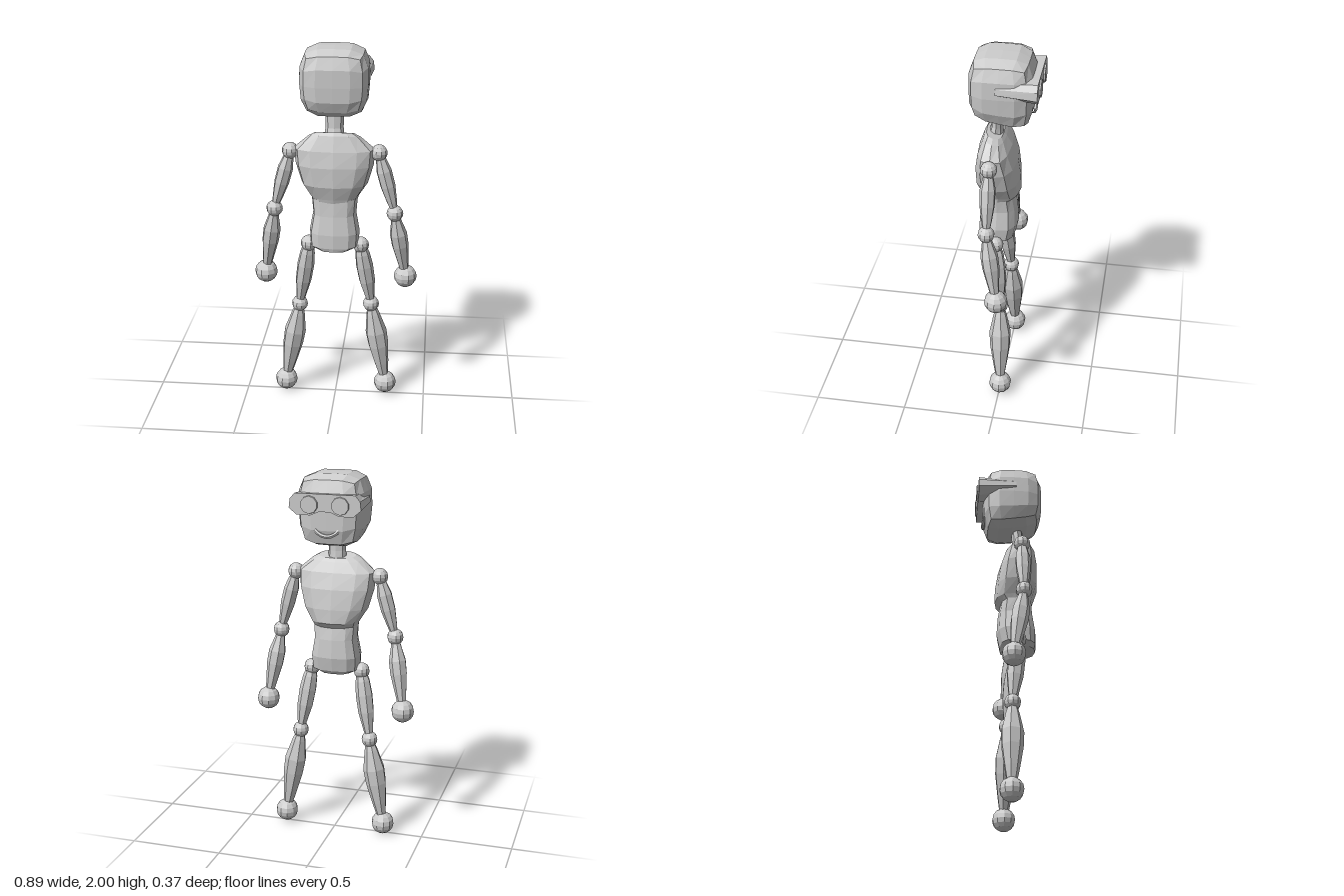
import * as THREE from 'three';

const material = new THREE.MeshStandardMaterial({ color: 0xcccccc, flatShading: true });

function add(parent, name, geometry) {
  const flat = geometry.index ? geometry.toNonIndexed() : geometry;
  flat.computeVertexNormals();
  const mesh = new THREE.Mesh(flat, material);
  mesh.name = name;
  parent.add(mesh);
  return mesh;
}

// Closed loft through horizontal rings: [y, half width, z min, z max, tilt]
function loft(rings, sides, power) {
  const pos = [], index = [];
  const soft = (v) => Math.sign(v) * Math.abs(v) ** (2 / power);
  for (const [y, w, z0, z1, tilt = 0] of rings) {
    for (let i = 0; i < sides; i++) {
      const a = (i / sides) * Math.PI * 2;
      const dz = (soft(Math.sin(a)) * (z1 - z0)) / 2;
      pos.push(soft(Math.cos(a)) * w, y + tilt * dz, (z0 + z1) / 2 + dz);
    }
  }
  const last = (rings.length - 1) * sides;
  const bottom = pos.length / 3, top = bottom + 1;
  for (const r of [rings[0], rings[rings.length - 1]]) pos.push(0, r[0], (r[2] + r[3]) / 2);
  for (let i = 0; i < sides; i++) {
    const n = (i + 1) % sides;
    for (let j = 0; j < last; j += sides) {
      index.push(j + i, j + sides + i, j + n, j + n, j + sides + i, j + sides + n);
    }
    index.push(bottom, i, n, top, last + n, last + i);
  }
  const g = new THREE.BufferGeometry();
  g.setAttribute('position', new THREE.Float32BufferAttribute(pos, 3));
  g.setIndex(index);
  return g;
}

// Rounded cube head with the chin sloping down towards the face (-z)
function headGeometry() {
  const g = new THREE.BoxGeometry(2, 2, 2, 4, 4, 4);
  const p = g.attributes.position;
  for (let i = 0; i < p.count; i++) {
    const x = p.getX(i), y = p.getY(i), z = p.getZ(i);
    const k = (x ** 4 + y ** 4 + z ** 4) ** -0.25;
    const low = Math.max(0, -y);
    p.setXYZ(
      i,
      x * k * 0.178 * (1 - 0.06 * low),
      1.817 + y * k * 0.183 + 0.025 * low * z * k,
      0.017 + z * k * 0.163
    );
  }
  return g;
}

// Goggle housing, tapering towards its rear
function visorGeometry() {
  const half = [[0.03, -0.035], [0.075, -0.055], [0.15, -0.055], [0.19, -0.02], [0.185, 0.025], [0.16, 0.055]];
  const outline = [...half, ...half.map(([x, y]) => [-x, y]).reverse()];
  const shape = new THREE.Shape(outline.map(([x, y]) => new THREE.Vector2(x, y)));
  const g = new THREE.ExtrudeGeometry(shape, { depth: 0.208, bevelEnabled: false });
  const p = g.attributes.position;
  for (let i = 0; i < p.count; i++) {
    const t = p.getZ(i) / 0.208;
    p.setXYZ(i, p.getX(i) * (1 - 0.03 * t), 1.853 + p.getY(i) * (1 - 0.33 * t) + 0.007 * t, p.getZ(i) - 0.178);
  }
  return g;
}

// Spindle-shaped limb between two joints; profile is [fraction, radius]
function limb(parent, name, from, to, profile) {
  const a = new THREE.Vector3(...from), dir = new THREE.Vector3(...to).sub(a);
  const length = dir.length();
  const points = profile.map(([t, r]) => new THREE.Vector2(r, -t * length)).reverse();
  const mesh = add(parent, name, new THREE.LatheGeometry(points, 7));
  mesh.position.copy(a);
  mesh.quaternion.setFromUnitVectors(new THREE.Vector3(0, -1, 0), dir.normalize());
}

function joint(parent, name, at, radius) {
  add(parent, name, new THREE.SphereGeometry(radius, 10, 8)).position.set(...at);
}

export function createModel() {
  const model = new THREE.Group();
  model.name = 'figure';

  // Head, goggles and smile
  const head = new THREE.Group();
  head.name = 'headGroup';
  model.add(head);
  add(head, 'head', headGeometry());
  add(head, 'visor', visorGeometry());
  for (const s of [-1, 1]) {
    const lens = add(head, 'lens', new THREE.CylinderGeometry(0.045, 0.049, 0.02, 10));
    lens.rotation.x = -Math.PI / 2;
    lens.position.set(s * 0.082, 1.852, -0.177);
  }
  const smile = new THREE.CatmullRomCurve3(
    [[-0.065, 1.718, -0.138], [-0.035, 1.694, -0.143], [0, 1.686, -0.145], [0.035, 1.694, -0.143], [0.065, 1.718, -0.138]]
      .map((v) => new THREE.Vector3(...v))
  );
  add(head, 'mouth', new THREE.TubeGeometry(smile, 6, 0.011, 6));

  // Neck and torso
  add(model, 'neck', loft([
    [1.52, 0.054, 0.012, 0.1], [1.58, 0.047, 0.018, 0.08], [1.68, 0.048, 0.016, 0.075],
  ], 8, 2));
  add(model, 'chest', loft([
    [1.17, 0.115, -0.045, 0.12],
    [1.205, 0.128, -0.077, 0.13],
    [1.28, 0.175, -0.076, 0.155],
    [1.385, 0.205, -0.06, 0.156],
    [1.47, 0.212, -0.03, 0.14],
    [1.535, 0.135, 0.0, 0.112, 0.25],
    [1.553, 0.1, 0.013, 0.1, 0.3],
  ], 12, 2.5));
  add(model, 'abdomen', loft([
    [0.915, 0.085, -0.035, 0.14],
    [0.935, 0.128, -0.05, 0.145],
    [1.01, 0.133, -0.066, 0.145],
    [1.11, 0.115, -0.06, 0.13],
    [1.2, 0.122, -0.045, 0.123],
  ], 12, 2.8));

  // Arms and legs
  const upperArm = [[0, 0.015], [0.12, 0.028], [0.3, 0.041], [0.55, 0.04], [0.8, 0.028], [1, 0.015]];
  const forearm = [[0, 0.018], [0.14, 0.03], [0.32, 0.047], [0.5, 0.046], [0.75, 0.032], [1, 0.018]];
  const thigh = [[0, 0.025], [0.15, 0.04], [0.35, 0.047], [0.6, 0.044], [0.85, 0.028], [1, 0.018]];
  const shin = [[0, 0.018], [0.13, 0.037], [0.35, 0.06], [0.52, 0.057], [0.75, 0.04], [1, 0.018]];
  for (const [side, s] of [['left', 1], ['right', -1]]) {
    const arm = new THREE.Group(), leg = new THREE.Group();
    arm.name = side + 'Arm';
    leg.name = side + 'Leg';
    model.add(arm, leg);

    const shoulder = [s * 0.232, 1.45, 0.055];
    const elbow = [s * 0.32, s > 0 ? 1.117 : 1.126, 0.056];
    const hand = [s * 0.381, 0.733, -0.002];
    joint(arm, 'shoulder', shoulder, 0.044);
    joint(arm, 'elbow', elbow, 0.044);
    joint(arm, 'hand', hand, 0.062);
    limb(arm, 'upperArm', shoulder, elbow, upperArm);
    limb(arm, 'forearm', elbow, hand, forearm);

    const hip = [s * 0.14, 0.925, 0.04];
    const knee = [s * 0.197, s > 0 ? 0.562 : 0.547, 0.005];
    const foot = [s * 0.28, s > 0 ? 0.07 : 0.064, -0.006];
    joint(leg, 'hip', hip, 0.044);
    joint(leg, 'knee', knee, 0.044);
    joint(leg, 'foot', foot, 0.062);
    limb(leg, 'thigh', hip, knee, thigh);
    limb(leg, 'shin', knee, foot, shin);
  }
  return model;
}
